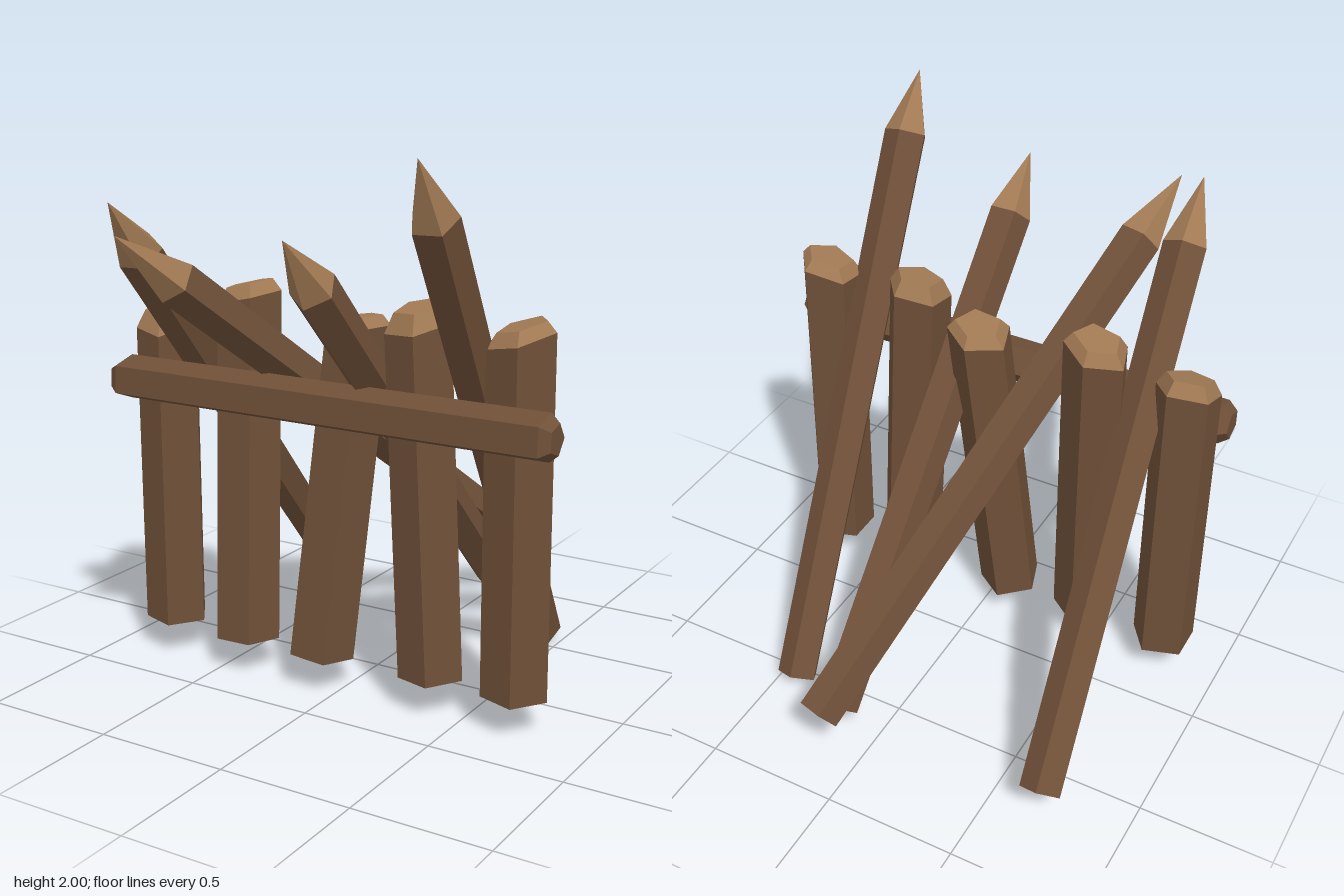
import * as THREE from 'three';

const bark = new THREE.MeshStandardMaterial({ color: 0x6f5038 });
bark.name = 'bark';
const cutWood = new THREE.MeshStandardMaterial({ color: 0xa27a54 });
cutWood.name = 'cutWood';

const SIDES = 5;
const vec = (a) => new THREE.Vector3(...a);

// Frame at `from` with y along the log; one corner of the section points towards `ref`
function frame(from, to, ref) {
  const y = vec(to).sub(vec(from)).normalize();
  const z = vec(ref);
  z.addScaledVector(y, -z.dot(y)).normalize();
  const x = new THREE.Vector3().crossVectors(y, z);
  return new THREE.Matrix4().makeBasis(x, y, z).setPosition(...from);
}

// Five-sided faceted piece turned from [radius, height] points
function piece(name, profile, matrix, material, rule) {
  const points = profile.map(([r, h]) => new THREE.Vector2(r, h));
  const geometry = new THREE.LatheGeometry(points, SIDES).toNonIndexed();
  geometry.applyMatrix4(matrix);
  if (rule) {
    const p = geometry.attributes.position;
    for (let i = 0; i < p.count; i++) p.setY(i, p.getY(i) + rule(p.getX(i), p.getY(i), p.getZ(i)));
  }
  geometry.computeVertexNormals();
  const mesh = new THREE.Mesh(geometry, material);
  mesh.name = name;
  return mesh;
}

// Upright post with a chamfered, slanted cut top
function post({ from, to, ref, cap, slope }) {
  const group = new THREE.Group();
  group.name = 'post';
  const m = frame(from, to, ref);
  const length = vec(from).distanceTo(vec(to));
  const r = 0.122;
  const slant = (x, y, z) => (y > 0.8 ? slope[0] * (x - to[0]) + slope[1] * (z - to[2]) : 0);
  group.add(
    piece('postShaft', [[0, 0], [r, 0], [r, length]], m, bark, slant),
    piece('postTop', [[r, length], [r * 0.72, length + cap], [0, length + cap]], m, cutWood, slant)
  );
  return group;
}

// Leaning stake with a sharpened tip
function stake({ from, to, ref, tip }) {
  const group = new THREE.Group();
  group.name = 'stake';
  const m = frame(from, to, ref);
  const length = vec(from).distanceTo(vec(to));
  const neck = length - tip;
  group.add(
    piece('stakeShaft', [[0, 0], [0.079, 0], [0.084, neck]], m, bark),
    piece('stakeTip', [[0.084, neck], [0, length]], m, cutWood)
  );
  return group;
}

export function createModel() {
  const model = new THREE.Group();
  model.name = 'palisade';

  const side = [1, 0, 0], back = [0, 0, -1], up = [0, 1, 0], down = [0, -1, 0];

  // Row of posts
  [
    { from: [-0.77, 0.13, 0.23], to: [-0.77, 1.3, 0.23], ref: side, cap: 0.06, slope: [0, -0.35] },
    { from: [-0.42, 0.125, 0.255], to: [-0.45, 1.41, 0.16], ref: back, cap: 0.05, slope: [0.2, -0.1] },
    { from: [-0.09, 0.125, 0.255], to: [0.01, 1.34, 0.155], ref: back, cap: 0.04, slope: [0.2, -0.05] },
    { from: [0.363, 0.13, 0.23], to: [0.305, 1.39, 0.23], ref: side, cap: 0.065, slope: [0.1, -0.2] },
    { from: [0.69, 0.13, 0.23], to: [0.69, 1.385, 0.23], ref: side, cap: 0.045, slope: [0.25, -0.15] },
  ].forEach((p) => model.add(post(p)));

  // Stakes leaning forward through the row
  [
    { from: [-0.71, 0.165, -0.725], to: [-0.55, 1.81, 0.805], ref: up, tip: 0.26 },
    { from: [0.09, 0.31, -0.9], to: [-0.42, 1.725, 0.935], ref: down, tip: 0.29 },
    { from: [0.13, 0.165, -0.725], to: [0.145, 1.735, 0.81], ref: down, tip: 0.25 },
    { from: [0.418, 0.04, -0.56], to: [0.585, 2, 0.745], ref: up, tip: 0.24 },
  ].forEach((s) => model.add(stake(s)));

  // Crossbeam with chamfered ends
  const r = 0.086;
  const beam = frame([-0.895, 1.103, 0.38], [0.89, 1.103, 0.38], [0, -0.05, -1]);
  model.add(piece('crossbeam',
    [[0, 0], [r * 0.65, 0], [r, 0.04], [r, 1.75], [r * 0.65, 1.785], [0, 1.785]], beam, bark));

  return model;
}
